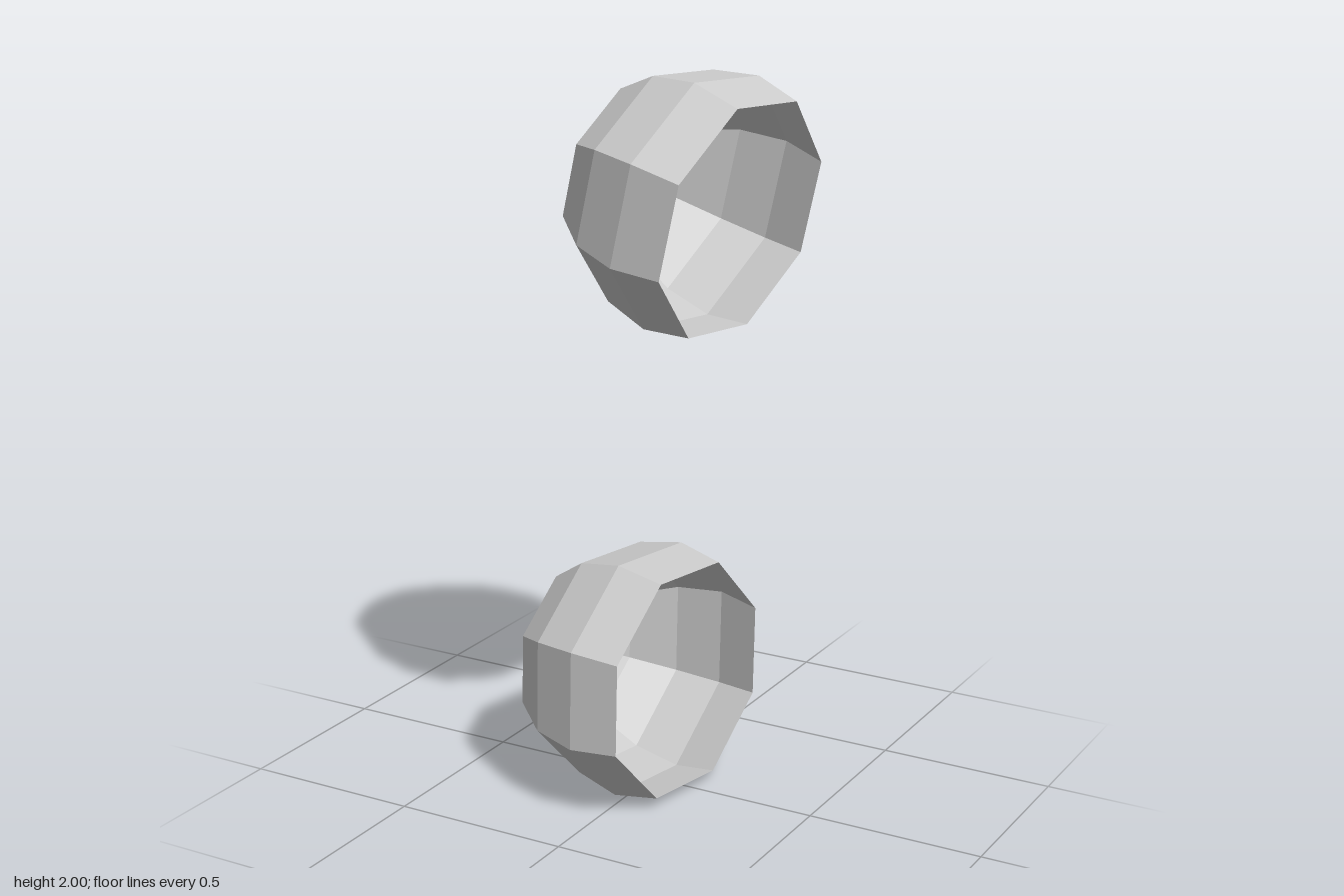
import * as THREE from 'three';

const R = 0.363;      // eyeball radius
const SIDES = 8;

function mat(color) {
  return new THREE.MeshStandardMaterial({ color, flatShading: true, side: THREE.DoubleSide });
}

// Point on the ball's profile, at an angle in degrees from the pupil axis
function onBall(deg) {
  const a = THREE.MathUtils.degToRad(deg);
  return new THREE.Vector2(R * Math.sin(a), R * Math.cos(a));
}

function turned(name, points, material) {
  const mesh = new THREE.Mesh(new THREE.LatheGeometry(points, SIDES, Math.PI / SIDES), material);
  mesh.name = name;
  return mesh;
}

export function createModel() {
  const model = new THREE.Group();
  model.name = 'eyes';
  const white = mat(0xcccccc), brown = mat(0x5a2212), black = mat(0x111314);

  // An open-backed eyeball looking along gaze, rolled slightly about that axis
  function eye(name, center, gaze, roll) {
    const group = new THREE.Group();
    group.name = name;
    const shell = [112.5, 90, 67.5, 45, 22.5].map(onBall);
    const pupilEdge = onBall(11.25);
    group.add(
      turned('eyeballShell', shell, white),
      turned('iris', [onBall(22.5), pupilEdge], brown),
      turned('pupil', [pupilEdge, new THREE.Vector2(0, pupilEdge.y)], black),
    );
    const y = gaze.clone().normalize();
    const z = new THREE.Vector3(0, Math.cos(roll), -Math.sin(roll));
    z.addScaledVector(y, -z.dot(y)).normalize();
    const x = new THREE.Vector3().crossVectors(y, z);
    group.quaternion.setFromRotationMatrix(new THREE.Matrix4().makeBasis(x, y, z));
    group.position.copy(center);
    model.add(group);
  }

  eye('lowerEye', new THREE.Vector3(0, 0.34, 0.017), new THREE.Vector3(-0.988, 0, -0.155), 0.03);
  eye('upperEye', new THREE.Vector3(0.14, 1.664, -0.017), new THREE.Vector3(-0.964, 0.21, -0.16), 0.045);
  return model;
}
